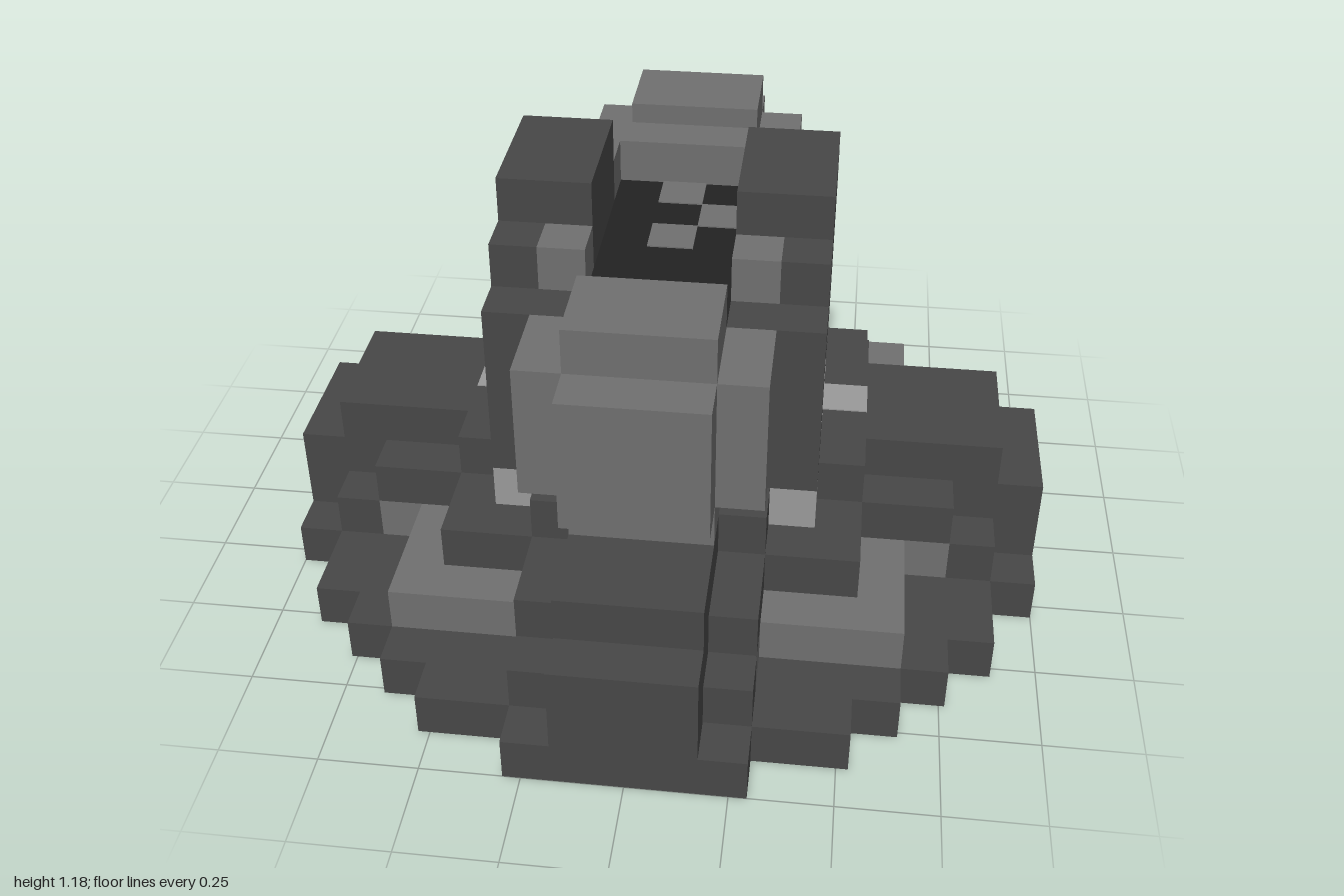
import * as THREE from 'three';

const U = 2 / 17; // one cell of the 17-cell grid

const mat = (name, color) => {
  const m = new THREE.MeshStandardMaterial({ color });
  m.name = name;
  return m;
};

export function createModel() {
  const dark = mat('dark stone', 0x474747);
  const mid = mat('mid grey', 0x6f6f6f);
  const pale = mat('pale grey', 0x999999);
  const black = mat('black core', 0x222222);
  const model = new THREE.Group();
  model.name = 'steppedTower';

  // Box given by inclusive cell ranges; cell 0 is centred on x and z, layer 0 sits on the ground
  const box = (name, m, [x0, x1], [y0, y1], [z0, z1], parent = model) => {
    const g = new THREE.BoxGeometry((x1 - x0 + 1) * U, (y1 - y0 + 1) * U, (z1 - z0 + 1) * U);
    const mesh = new THREE.Mesh(g, m);
    mesh.name = name;
    mesh.position.set((x0 + x1) / 2 * U, (y0 + y1 + 1) / 2 * U, (z0 + z1) / 2 * U);
    parent.add(mesh);
    return mesh;
  };
  // Box centred on the axis, reaching hx and hz cells each way
  const slab = (name, m, hx, y, hz) => box(name, m, [-hx, hx], y, [-hz, hz]);
  // Thin inlay lying on top of a layer
  const inlay = (name, m, x, top, z) => {
    const mesh = box(name, m, x, [top, top], z);
    mesh.scale.y = 0.04;
    mesh.position.y = top * U + 0.001;
  };

  // Round stepped base
  for (const [hx, hz] of [[8, 2], [7, 4], [6, 5], [5, 6], [4, 7], [2, 8]]) {
    slab('baseDisc', dark, hx, [0, 0], hz);
  }
  // Light ledge on the second layer
  for (const [hx, hz] of [[5, 5], [6, 2], [2, 6]]) slab('lightLedge', mid, hx, [1, 1], hz);
  // Upper terrace and cross-shaped platform
  for (const [hx, hz] of [[4, 4], [6, 2], [2, 6]]) slab('terrace', dark, hx, [2, 2], hz);
  for (const [hx, hz] of [[7, 1], [1, 7], [4, 2], [2, 4]]) slab('platform', dark, hx, [3, 3], hz);
  // Ends of the four arms
  for (const s of [-1, 1]) {
    box('armStep', dark, [7 * s, 7 * s], [1, 1], [-2, 2]);
    box('armStep', dark, [-2, 2], [1, 1], [7 * s, 7 * s]);
    for (const d of [7, 8]) {
      box('armEnd', dark, [d * s, d * s], [1, 2], [-1, 1]);
      box('armEnd', dark, [-1, 1], [1, 2], [d * s, d * s]);
    }
  }

  // Black core
  box('core', black, [-1, 1], [4, 7], [-3, 3]);
  box('doorPanels', black, [-2, 2], [4, 7], [-1, 1]);
  for (const [x, z] of [[0, -2], [1, -1], [0, 0], [0, 3]]) inlay('coreStud', mid, [x, x], 8, [z, z]);
  box('rearLintel', mid, [-1, 1], [8, 8], [-3, -3]);

  // Side walls with door recesses, mirrored left and right
  for (const s of [-1, 1]) {
    const span = (a, b) => (s > 0 ? [a, b] : [-b, -a]);
    for (const t of [-1, 1]) {
      box('wallPillar', dark, span(2, 3), [4, 7], t > 0 ? [2, 3] : [-3, -2]);
      box('cornerFoot', pale, span(3, 3), [3, 3], [3 * t, 3 * t]);
      box('innerBlock', mid, span(2, 2), [8, 8], [2 * t, 2 * t]);
    }
    box('wallTop', dark, span(3, 3), [8, 8], [-2, 2]);
    box('wallCrest', dark, span(2, 3), [8, 9], [-1, 1]);
    inlay('doorFloor', pale, span(3, 3), 4, [-1, 1]);
    inlay('doorStep', pale, span(4, 4), 4, [0, 0]);
  }

  // Front and rear pods
  const pod = (name, z) => {
    const g = new THREE.Group();
    g.name = name;
    box('podBody', mid, [-2, 2], [5, 7], z, g);
    box('podCore', mid, [-1, 1], [4, 8], z, g);
    model.add(g);
    return g;
  };
  box('podFace', mid, [-1, 1], [5, 7], [6, 6], pod('frontPod', [4, 5]));

  // Rear pod has a face plate with a square port
  const rear = pod('rearPod', [-6, -5]);
  const square = (path, h) => path.moveTo(-h, -h).lineTo(h, -h).lineTo(h, h).lineTo(-h, h).closePath();
  const plate = square(new THREE.Shape(), 1.5 * U);
  plate.holes.push(square(new THREE.Path(), 0.5 * U));
  const face = new THREE.Mesh(new THREE.ExtrudeGeometry(plate, { depth: U, bevelEnabled: false }), mid);
  face.name = 'podPortFace';
  face.position.set(0, 6.5 * U, -7.5 * U);
  rear.add(face);

  // Link between core and rear pod
  box('rearLink', black, [0, 1], [5, 7], [-4, -4]);
  box('rearLinkPipe', mid, [-1, -1], [5, 7], [-4, -4]);

  return model;
}
